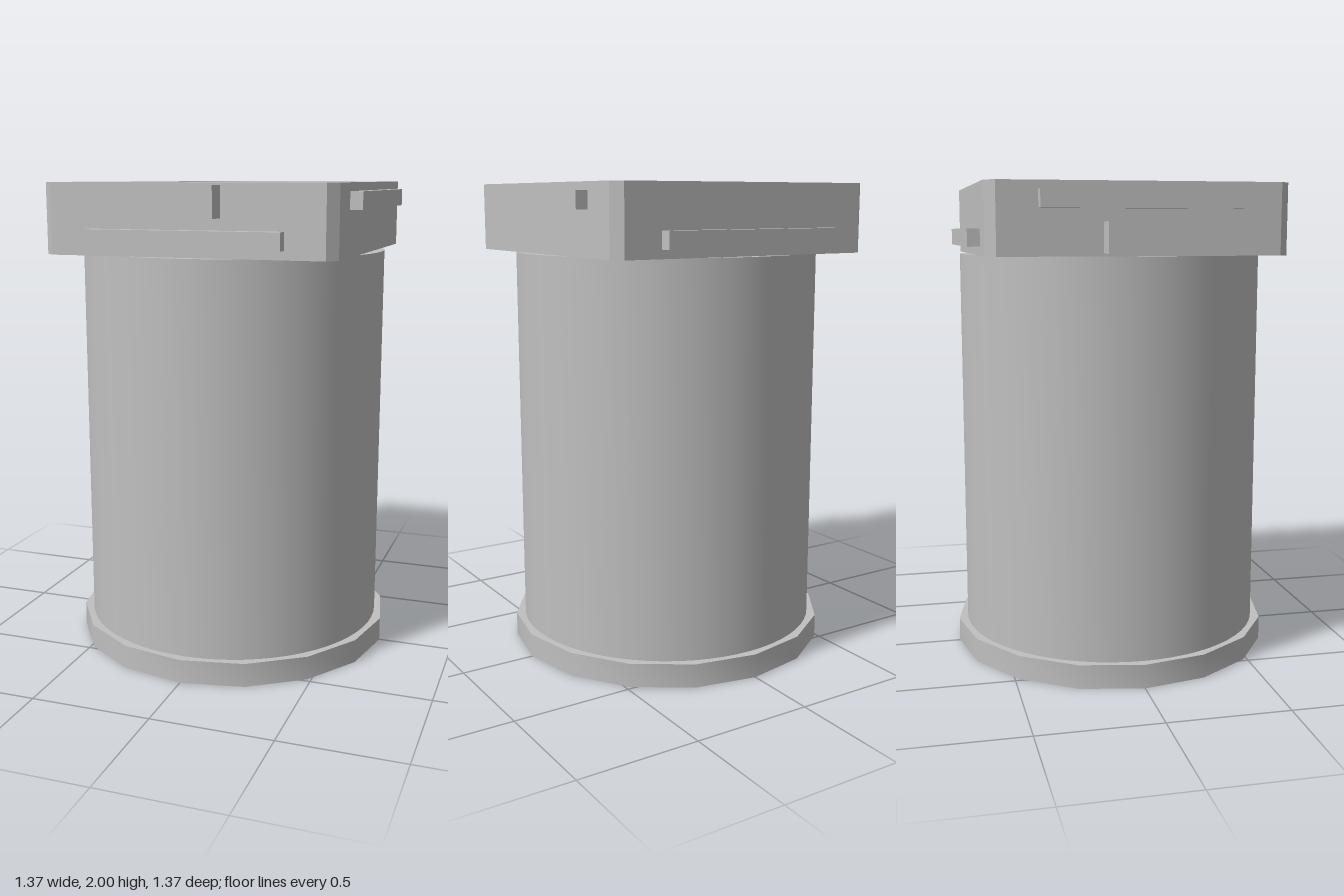
import * as THREE from 'three';
import { toCreasedNormals } from 'three/addons/utils/BufferGeometryUtils.js';

// Regular polygon outline with a vertex on the +x axis
function ring(radius, sides, cx = 0, cy = 0) {
  const points = [];
  for (let i = 0; i < sides; i++) {
    const a = (i / sides) * Math.PI * 2;
    points.push(new THREE.Vector2(cx + radius * Math.cos(a), cy + radius * Math.sin(a)));
  }
  return points;
}

// Upright prism from an outline with holes, smooth where the sides turn gently
function prism(outline, holes, y0, y1) {
  const shape = new THREE.Shape(outline);
  holes.forEach((h) => shape.holes.push(new THREE.Path(h)));
  const geometry = new THREE.ExtrudeGeometry(shape, { depth: y1 - y0, bevelEnabled: false });
  geometry.rotateX(-Math.PI / 2);
  geometry.translate(0, y0, 0);
  return toCreasedNormals(geometry, 0.45);
}

export function createModel() {
  const group = new THREE.Group();
  const metal = new THREE.MeshStandardMaterial({ color: 0xc0c0c0 });
  metal.name = 'light grey metal';

  const add = (name, geometry) => {
    const mesh = new THREE.Mesh(geometry, metal);
    mesh.name = name;
    group.add(mesh);
    return mesh;
  };

  // Base flange with eight bolt holes
  const boltHoles = [];
  for (let i = 0; i < 8; i++) {
    const a = (i * Math.PI) / 4;
    boltHoles.push(ring(0.014, 16, 0.62 * Math.cos(a), 0.62 * Math.sin(a)));
  }
  add('baseFlange', prism(ring(0.685, 16), [ring(0.565, 16), ...boltHoles], 0, 0.1));

  // Hollow barrel
  add('barrel', prism(ring(0.645, 64), [ring(0.56, 64)], 0.1, 1.717));

  // Square head plate with chamfered corners and a round bore
  const s = 0.6, c = 0.56;
  const square = [[s, -c], [s, c], [c, s], [-c, s], [-s, c], [-s, -c], [-c, -s], [c, -s]]
    .map(([x, y]) => new THREE.Vector2(x, y));
  add('headPlate', prism(square, [ring(0.262, 40)], 1.717, 2));

  // Plate attachments: side angle about y, width, bottom, top, reach from the axis
  const attach = (name, angle, width, y0, y1, reach) => {
    const geometry = new THREE.BoxGeometry(width, y1 - y0, reach - 0.59);
    geometry.translate(0, (y0 + y1) / 2, (reach + 0.59) / 2);
    add(name, geometry).rotation.y = angle;
  };
  const q = Math.PI / 2;
  attach('frontRail', 0, 0.8, 1.752, 1.822, 0.65);
  attach('backRail', 2 * q, 0.8, 1.752, 1.822, 0.65);
  attach('leftRail', q, 0.8, 1.897, 1.967, 0.65);
  attach('rightRail', -q, 0.8, 1.897, 1.967, 0.65);
  attach('frontBlock', 0, 0.3, 1.868, 1.99, 0.688);
  attach('rightBlock', -q, 0.3, 1.728, 1.848, 0.688);

  return group;
}
